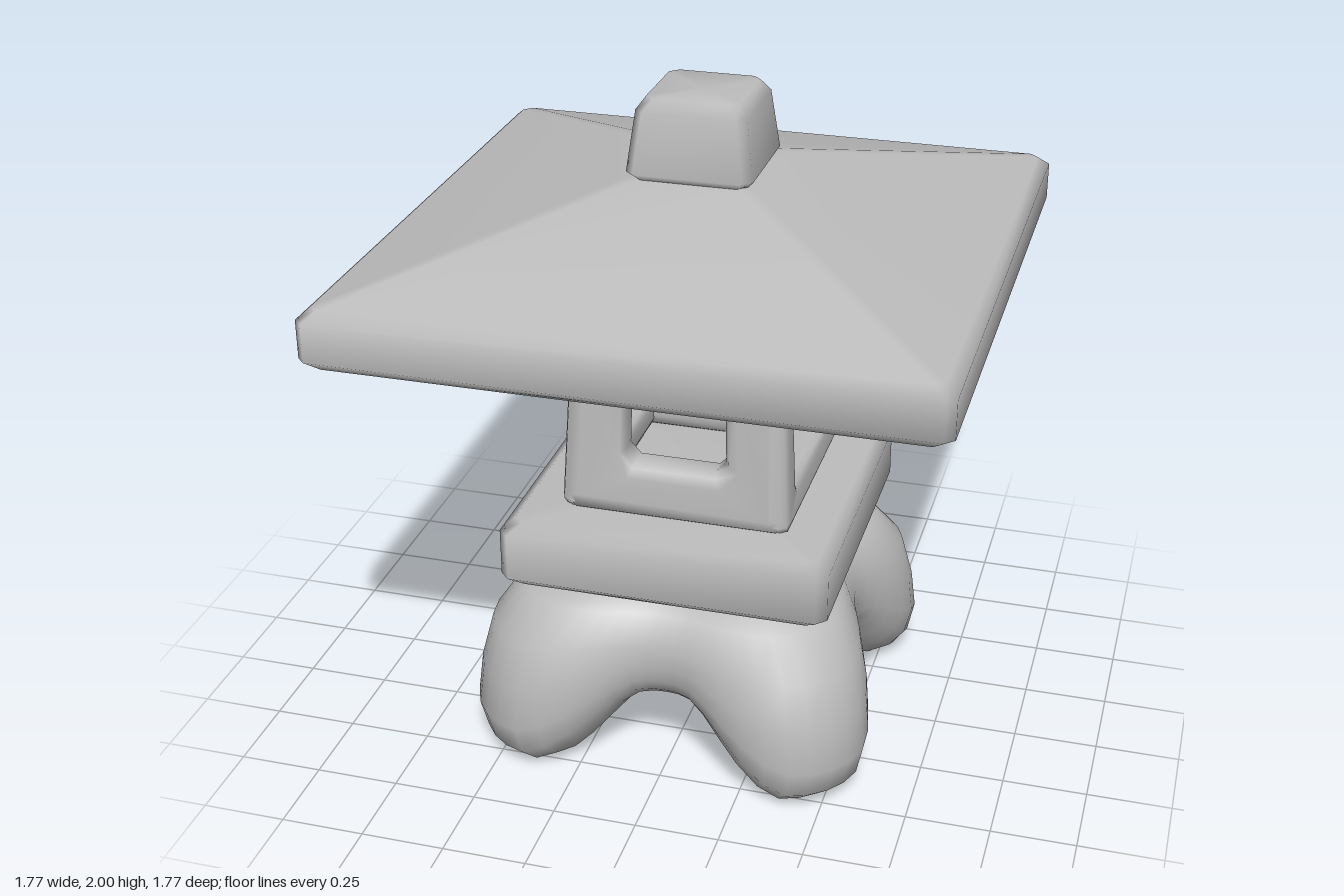
import * as THREE from 'three';
import { mergeVertices } from 'three/addons/utils/BufferGeometryUtils.js';

const stone = new THREE.MeshStandardMaterial({ color: 0xbcbcbc });
stone.name = 'grey stone';

// Smooth closed surface through rings of points, listed from the bottom centre to the top centre
function loft(name, rings) {
  const n = rings[0].length;
  const index = [];
  for (let i = 0; i < rings.length - 1; i++) {
    for (let j = 0; j < n; j++) {
      const a = i * n + j, b = i * n + (j + 1) % n;
      index.push(a, a + n, b, b, a + n, b + n);
    }
  }
  const geometry = new THREE.BufferGeometry();
  geometry.setAttribute('position', new THREE.Float32BufferAttribute(rings.flat(2), 3));
  geometry.setIndex(index);
  geometry.computeVertexNormals();
  const mesh = new THREE.Mesh(geometry, stone);
  mesh.name = name;
  return mesh;
}

// Square block with cut corners; profile is [half width, y]
function squareBlock(name, profile, cut) {
  const rings = profile.map(([h, y]) => {
    const k = h - Math.min(cut, h * 0.5);
    return [[h, k], [k, h], [-k, h], [-h, k], [-h, -k], [-k, -h], [k, -h], [h, -k]]
      .map(([x, z]) => [x, y, z]);
  });
  return loft(name, rings);
}

// Hollow four-footed base: blends a foot profile on the diagonals with an arch profile on the sides
function base() {
  const foot = [[0, 0.47], [0.18, 0.47], [0.25, 0.45], [0.3, 0.36], [0.335, 0.24], [0.36, 0.12], [0.42, 0.03], [0.5, 0],
    [0.57, 0.015], [0.615, 0.06], [0.635, 0.15], [0.62, 0.28], [0.585, 0.42], [0.5, 0.535], [0.36, 0.58], [0, 0.58]];
  const arch = [[0, 0.47], [0.18, 0.47], [0.25, 0.45], [0.28, 0.38], [0.3, 0.31], [0.32, 0.265], [0.35, 0.245], [0.385, 0.24],
    [0.42, 0.25], [0.455, 0.28], [0.475, 0.32], [0.485, 0.37], [0.485, 0.44], [0.45, 0.535], [0.36, 0.58], [0, 0.58]];
  const segments = 72;
  const rings = foot.map(([fh, fy], i) => {
    const [ah, ay] = arch[i];
    return Array.from({ length: segments }, (_, j) => {
      const t = j / segments * Math.PI * 2;
      const c = Math.cos(t), s = Math.sin(t);
      const fromSide = THREE.MathUtils.radToDeg(Math.atan2(Math.min(Math.abs(c), Math.abs(s)),
        Math.max(Math.abs(c), Math.abs(s))));
      const spread = THREE.MathUtils.smoothstep(fromSide, 2, 37);
      const drop = THREE.MathUtils.smoothstep(fromSide, 9, 37);
      const r = THREE.MathUtils.lerp(ah, fh, spread) / Math.pow(c ** 4 + s ** 4, 0.25);
      return [r * c, THREE.MathUtils.lerp(ay, fy, drop), r * s];
    });
  });
  return loft('footedBase', rings);
}

// Rectangle path with cut corners
function cutRectangle(path, w, y0, y1, c) {
  const points = [[w, y0 + c], [w, y1 - c], [w - c, y1], [c - w, y1], [-w, y1 - c], [-w, y0 + c], [c - w, y0], [w - c, y0]];
  path.setFromPoints(points.map(([x, y]) => new THREE.Vector2(x, y)));
  return path;
}

// Tapered wall with a bevelled window; the given window size is its narrowest opening
function windowWall(name, angle, halfWidth, sill, head, bevel, cut) {
  const bottom = 0.785, top = 1.412, outer = 0.346, thickness = 0.115, edge = 0.03;
  const shape = cutRectangle(new THREE.Shape(), 0.34 - bevel, bottom + bevel, top - bevel, 0.01);
  shape.holes.push(cutRectangle(new THREE.Path(), halfWidth + bevel, sill - bevel, head + bevel, cut));
  let geometry = new THREE.ExtrudeGeometry(shape, {
    depth: thickness - 2 * edge, bevelThickness: edge, bevelSize: bevel, bevelSegments: 2,
  });
  geometry.translate(0, 0, outer - thickness + edge);
  geometry.rotateY(angle);
  const p = geometry.attributes.position;
  for (let i = 0; i < p.count; i++) {
    const k = 1 - 0.1 * (p.getY(i) - bottom) / (top - bottom);
    p.setXYZ(i, p.getX(i) * k, p.getY(i), p.getZ(i) * k);
  }
  geometry.deleteAttribute('uv');
  geometry.deleteAttribute('normal');
  geometry = mergeVertices(geometry, 1e-4);
  geometry.computeVertexNormals();
  const mesh = new THREE.Mesh(geometry, stone);
  mesh.name = name;
  return mesh;
}

export function createModel() {
  const model = new THREE.Group();
  model.name = 'stoneLantern';

  model.add(base());

  // Platform slab
  model.add(squareBlock('platform', [[0, 0.578], [0.455, 0.578], [0.492, 0.61], [0.492, 0.755], [0.455, 0.785], [0, 0.785]], 0.03));

  // Open light chamber
  const chamber = new THREE.Group();
  chamber.name = 'lightChamber';
  for (const [side, turn] of [['front', 0], ['back', Math.PI]]) {
    chamber.add(windowWall(side + 'Wall', turn, 0.156, 0.957, 1.235, 0.045, 0.06));
  }
  for (const [side, turn] of [['left', Math.PI / 2], ['right', -Math.PI / 2]]) {
    chamber.add(windowWall(side + 'Wall', turn, 0.213, 0.9, 1.298, 0.03, 0.025));
  }
  model.add(chamber);

  // Sloping roof and its cap stone
  model.add(squareBlock('roof', [[0, 1.413], [0.85, 1.413], [0.883, 1.443], [0.883, 1.555], [0.85, 1.585], [0.19, 1.77], [0, 1.77]], 0.025));
  model.add(squareBlock('capStone', [[0, 1.765], [0.16, 1.765], [0.183, 1.79], [0.16, 1.965], [0.135, 2], [0, 2]], 0.025));

  return model;
}
